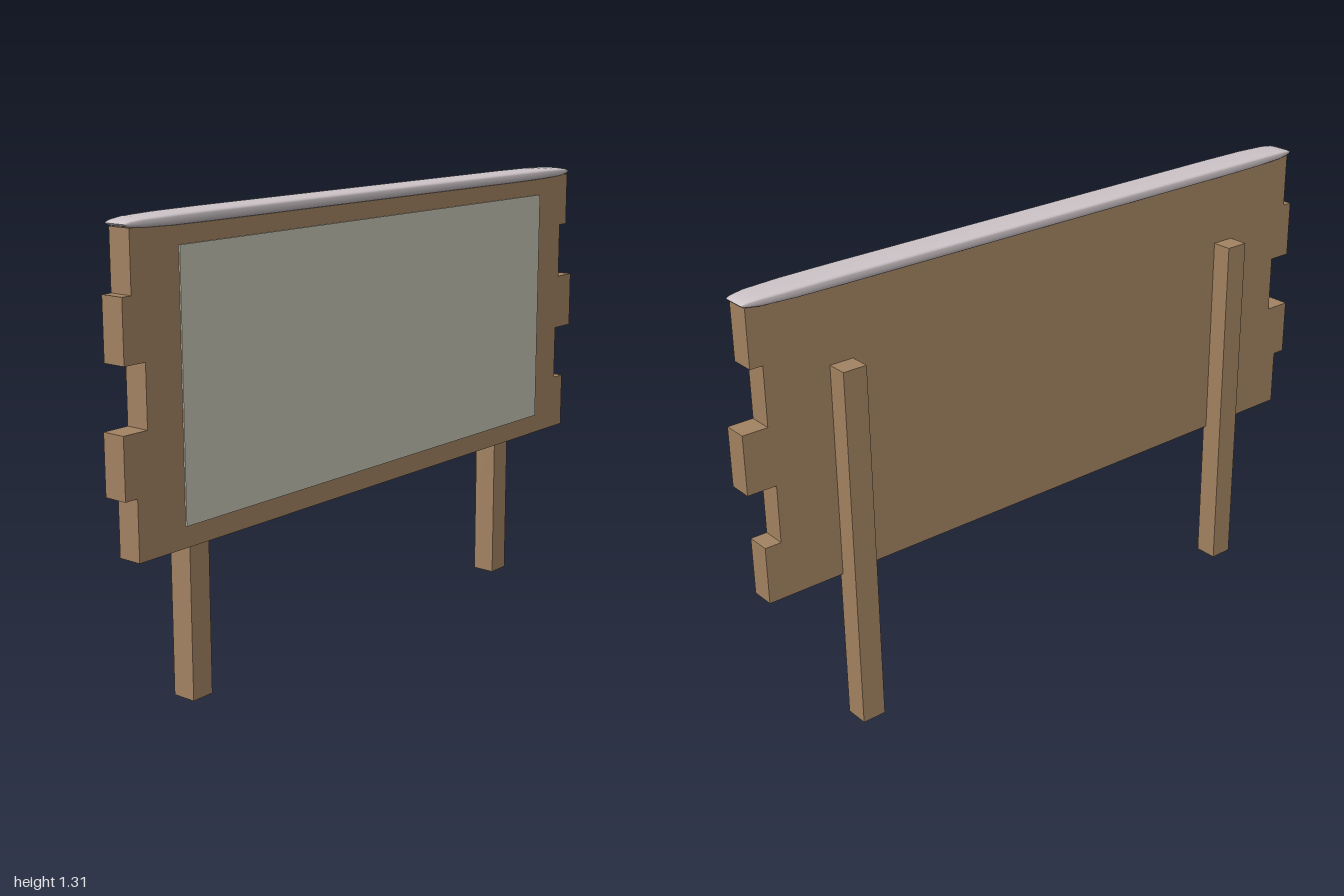
import * as THREE from 'three';

export function createModel() {
  const group = new THREE.Group();
  const wood = new THREE.MeshStandardMaterial({ color: 0xa38362 });
  wood.name = 'wood';
  const paper = new THREE.MeshStandardMaterial({ color: 0xc5c5b5 });
  paper.name = 'paper';
  const snow = new THREE.MeshStandardMaterial({ color: 0xcdc4c8 });
  snow.name = 'snow';

  // Box given by its minimum and maximum corners
  function box(name, material, [x0, y0, z0], [x1, y1, z1]) {
    const mesh = new THREE.Mesh(new THREE.BoxGeometry(x1 - x0, y1 - y0, z1 - z0), material);
    mesh.position.set((x0 + x1) / 2, (y0 + y1) / 2, (z0 + z1) / 2);
    mesh.name = name;
    group.add(mesh);
  }

  // Staggered planks, bottom to top: left end, right end, lower edge, upper edge
  const planks = [
    [-0.96, 0.963, 0.455, 0.621],
    [-1.0, 0.915, 0.621, 0.787],
    [-0.92, 1.0, 0.787, 0.956],
    [-0.99, 0.926, 0.956, 1.124],
    [-0.96, 0.963, 1.124, 1.285],
  ];
  planks.forEach(([x0, x1, y0, y1], i) =>
    box(`plank${i + 1}`, wood, [x0, y0, -0.011], [x1, y1, 0.059]));

  // Posts behind the planks
  box('rightPost', wood, [-0.727, 0, -0.071], [-0.656, 1.07, 0]);
  box('leftPost', wood, [0.662, 0, -0.071], [0.733, 1.07, 0]);

  // Notice sheet on the front
  box('noticeSheet', paper, [-0.798, 0.513, 0.0585], [0.8, 1.23, 0.063]);

  // Snow cap: rounded-box cross-sections swept along x, tapering at the ends
  const half = [[0.67, 0.049, 0.0175], [0.82, 0.048, 0.0165], [0.92, 0.044, 0.0135],
    [0.955, 0.039, 0.009], [0.968, 0.036, 0.005], [0.972, 0.034, 0]];
  const stations = [...half].reverse().map(([x, w, h]) => [-x, w, h]).concat(half);
  const sides = 32;
  const round = (v) => Math.sign(v) * Math.sqrt(Math.abs(v));
  const positions = [];
  const index = [];
  stations.forEach(([x, w, h], i) => {
    for (let j = 0; j < sides; j++) {
      const t = (j / sides) * Math.PI * 2;
      positions.push(x + 0.002, 1.2935 + h * round(Math.sin(t)), 0.021 + w * round(Math.cos(t)));
      if (i === stations.length - 1) continue;
      const a = i * sides + j;
      const b = i * sides + ((j + 1) % sides);
      index.push(a, a + sides, b, b, a + sides, b + sides);
    }
  });
  const capGeometry = new THREE.BufferGeometry();
  capGeometry.setAttribute('position', new THREE.Float32BufferAttribute(positions, 3));
  capGeometry.setIndex(index);
  capGeometry.computeVertexNormals();
  const cap = new THREE.Mesh(capGeometry, snow);
  cap.name = 'snowCap';
  group.add(cap);

  return group;
}
